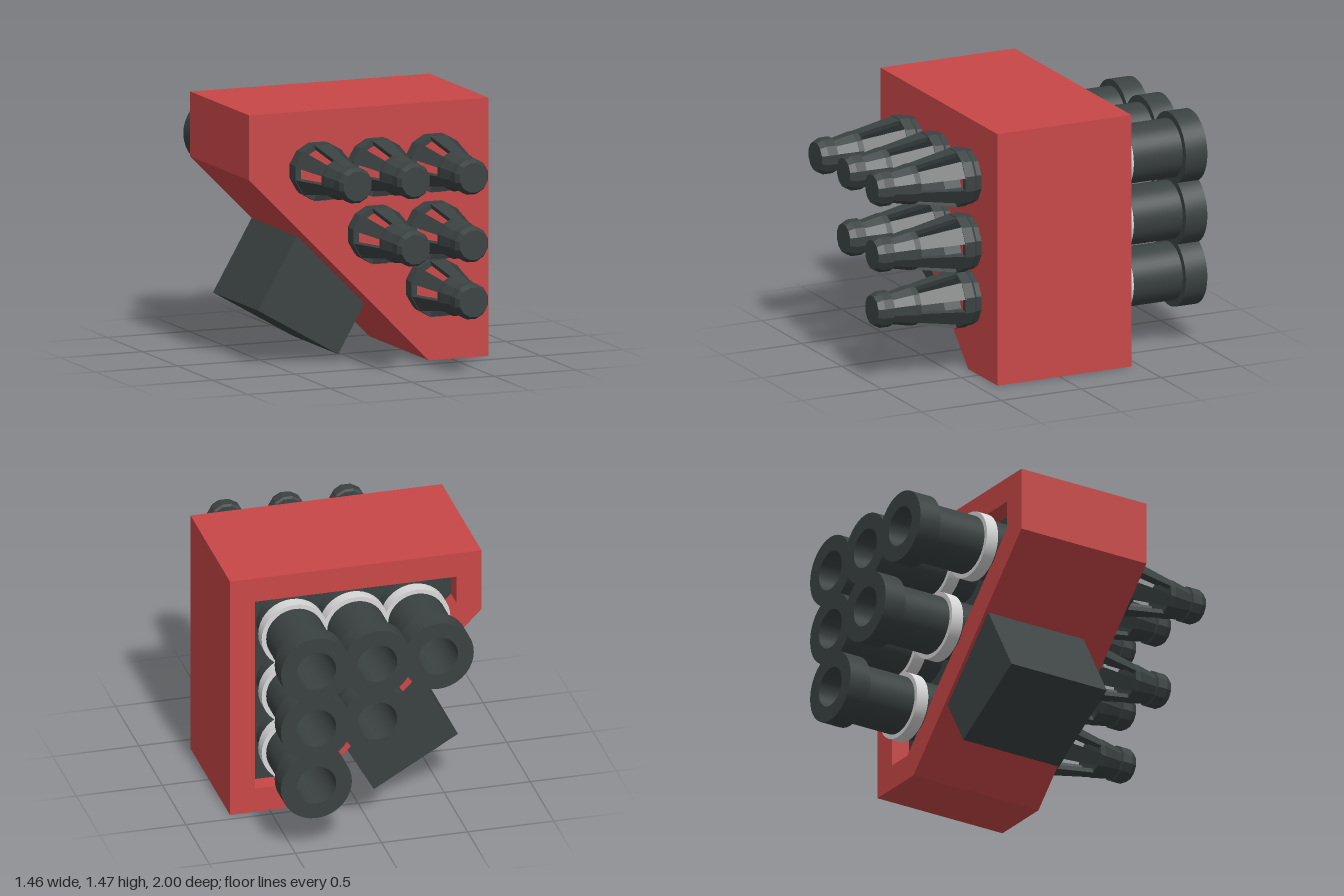
import * as THREE from 'three';
import { toCreasedNormals } from 'three/addons/utils/BufferGeometryUtils.js';

const red = new THREE.MeshStandardMaterial({ name: 'red', color: 0xc94747 });
const charcoal = new THREE.MeshStandardMaterial({ name: 'charcoal', color: 0x3b4242 });
const lightGrey = new THREE.MeshStandardMaterial({ name: 'lightGrey', color: 0xd8d8d8 });

const points = (list) => list.map(([x, y]) => new THREE.Vector2(x, y));

function addMesh(parent, name, geometry, material) {
  const mesh = new THREE.Mesh(geometry, material);
  mesh.name = name;
  parent.add(mesh);
  return mesh;
}

// Prism from an outline, between two depths
function prism(outline, z0, z1, hole) {
  const shape = new THREE.Shape(points(outline));
  if (hole) shape.holes.push(new THREE.Path(points(hole)));
  return new THREE.ExtrudeGeometry(shape, { depth: z1 - z0, bevelEnabled: false }).translate(0, 0, z0);
}

// Twelve-sided faceted turning, profile [radius, z], facets square to the axes
function faceted(profile) {
  const g = new THREE.LatheGeometry(points(profile), 12).toNonIndexed();
  g.computeVertexNormals();
  return g.rotateX(Math.PI / 2).rotateZ(Math.PI / 12);
}

// Smooth turning that points to the rear, profile [radius, distance behind centre]
function turnedRear(profile) {
  const g = new THREE.LatheGeometry(points(profile), 36);
  return toCreasedNormals(g, 0.6).rotateX(-Math.PI / 2);
}

// Tapered cage bar at one angle around the axis
function cageBar(angle) {
  const g = new THREE.BoxGeometry(2, 2, 2);
  const p = g.attributes.position;
  for (let i = 0; i < p.count; i++) {
    const front = p.getZ(i) > 0;
    const r = (front ? 0.116 : 0.168) - (p.getY(i) > 0 ? 0 : 0.03);
    const a = angle - p.getX(i) * THREE.MathUtils.degToRad(17.5);
    p.setXYZ(i, r * Math.cos(a), r * Math.sin(a), front ? 0.75 : 0.485);
  }
  g.computeVertexNormals();
  return g;
}

export function createModel() {
  const model = new THREE.Group();
  model.name = 'launcherPod';

  // Housing with a recessed back
  const outline = [[-0.73, 1.1], [0.365, 0], [0.73, 0], [0.73, 1.47], [-0.73, 1.47]];
  const recess = [[-0.585, 1.16], [0.428, 0.146], [0.585, 0.146], [0.585, 1.324], [-0.585, 1.324]];
  addMesh(model, 'housing', prism(outline, -0.33, 0.39), red);
  addMesh(model, 'housingBackFrame', prism(outline, -0.45, -0.33, recess), red);
  addMesh(model, 'recessFloor', prism(recess, -0.336, -0.329), charcoal);

  // Tilted mounting block under the sloping side
  const block = addMesh(model, 'mountingBlock',
    new THREE.BoxGeometry(0.564, 0.47, 0.64).translate(0, 0.235, 0), charcoal);
  block.position.set(-0.355, 0.18, -0.11);
  block.rotation.z = -Math.PI / 6;

  // Front muzzle parts
  const base = faceted([[0.135, 0.38], [0.158, 0.38], [0.16, 0.42], [0.168, 0.435],
    [0.168, 0.495], [0.135, 0.495], [0.135, 0.38]]);
  const nose = faceted([[0, 0.745], [0.116, 0.745], [0.115, 0.78], [0.09, 0.9], [0.104, 0.905],
    [0.104, 0.965], [0.086, 1], [0, 1]]);
  const bars = [0, 1, 2, 3, 4, 5].map((k) => cageBar(Math.PI / 6 + k * Math.PI / 3));

  // Rear tube parts
  const tube = turnedRear([[0.168, 0.32], [0.168, 0.865], [0.206, 0.865], [0.206, 1],
    [0.115, 1], [0.115, 0.6], [0, 0.6]]);
  const collar = turnedRear([[0.16, 0.47], [0.194, 0.47], [0.194, 0.545], [0.16, 0.545], [0.16, 0.47]]);

  // Triangular arrangement: three, two, one
  const columns = [-0.33, 0.024, 0.378];
  const muzzleRows = [1.137, 0.753, 0.428];
  const tubeRows = [1.13, 0.77, 0.412];
  for (let row = 0; row < 3; row++) {
    for (let col = row; col < 3; col++) {
      const muzzle = new THREE.Group();
      muzzle.name = 'muzzle';
      muzzle.position.set(columns[col], muzzleRows[row], 0);
      addMesh(muzzle, 'muzzleBase', base, charcoal);
      addMesh(muzzle, 'muzzleNose', nose, charcoal);
      bars.forEach((bar) => addMesh(muzzle, 'cageBar', bar, charcoal));

      const rear = new THREE.Group();
      rear.name = 'rearTube';
      rear.position.set(columns[col], tubeRows[row], 0);
      addMesh(rear, 'tube', tube, charcoal);
      addMesh(rear, 'collar', collar, lightGrey);
      model.add(muzzle, rear);
    }
  }
  return model;
}
